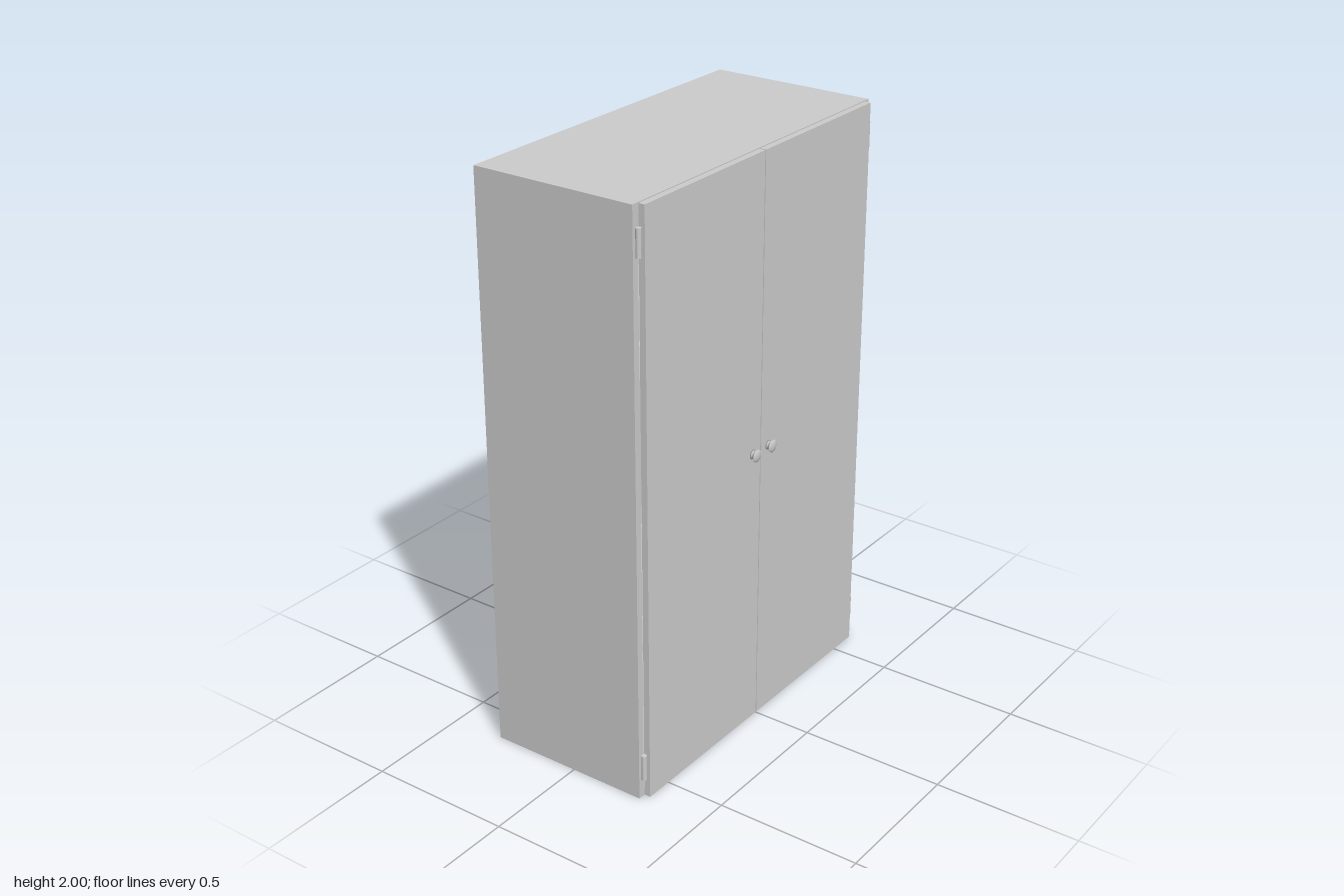
import * as THREE from 'three';

export function createModel() {
  const group = new THREE.Group();
  group.name = 'cabinet';
  const grey = new THREE.MeshStandardMaterial({ color: 0xcccccc });

  const add = (name, geometry, x, y, z, parent = group) => {
    const mesh = new THREE.Mesh(geometry, grey);
    mesh.name = name;
    mesh.position.set(x, y, z);
    parent.add(mesh);
    return mesh;
  };
  const box = (w, h, d) => new THREE.BoxGeometry(w, h, d);

  const W = 1.25, H = 2, back = -0.315, front = 0.268, T = 0.025;
  const depth = front - back, midZ = (front + back) / 2;
  const innerW = W - 2 * T;

  // Open-fronted case: top, bottom and back panels
  add('topPanel', box(innerW, T, depth), 0, H - T / 2, midZ);
  add('bottomPanel', box(innerW, T, depth), 0, T / 2, midZ);
  add('backPanel', box(innerW, H - 2 * T, T), 0, H / 2, back + T / 2);

  // Inner shelves
  for (const y of [0.55, 1.45]) {
    add('shelf', box(innerW, 0.02, depth - T), 0, y, midZ + T / 2);
  }

  // Turned knob: narrow neck flaring to a shallow domed face
  const knobProfile = [
    [0, 0], [0.016, 0], [0.0135, 0.004], [0.0135, 0.008], [0.017, 0.013],
    [0.022, 0.016], [0.0215, 0.018], [0.015, 0.021], [0.008, 0.0225], [0, 0.023],
  ].map(([r, h]) => new THREE.Vector2(r, h));
  const knobGeometry = new THREE.LatheGeometry(knobProfile, 24);
  knobGeometry.rotateX(Math.PI / 2);

  const hingeGeometry = new THREE.CylinderGeometry(0.009, 0.009, 0.09, 16);
  const gap = 0.002, doorW = 0.6 - gap, doorT = 0.022, doorFront = 0.292;

  // Side panels, doors, knobs and hinges, mirrored left and right
  for (const [side, s] of [['left', 1], ['right', -1]]) {
    add(side + 'SidePanel', box(T, H, depth), s * (W - T) / 2, H / 2, midZ);

    const door = new THREE.Group();
    door.name = side + 'Door';
    group.add(door);
    add('doorPanel', box(doorW, H - 0.004, doorT), s * (gap + doorW / 2), H / 2, doorFront - doorT / 2, door);
    add('knob', knobGeometry, s * 0.044, 1, doorFront, door);
    for (const y of [0.115, 1.885]) {
      add('hinge', hingeGeometry, s * 0.61, y, 0.277, door);
    }
  }

  return group;
}
